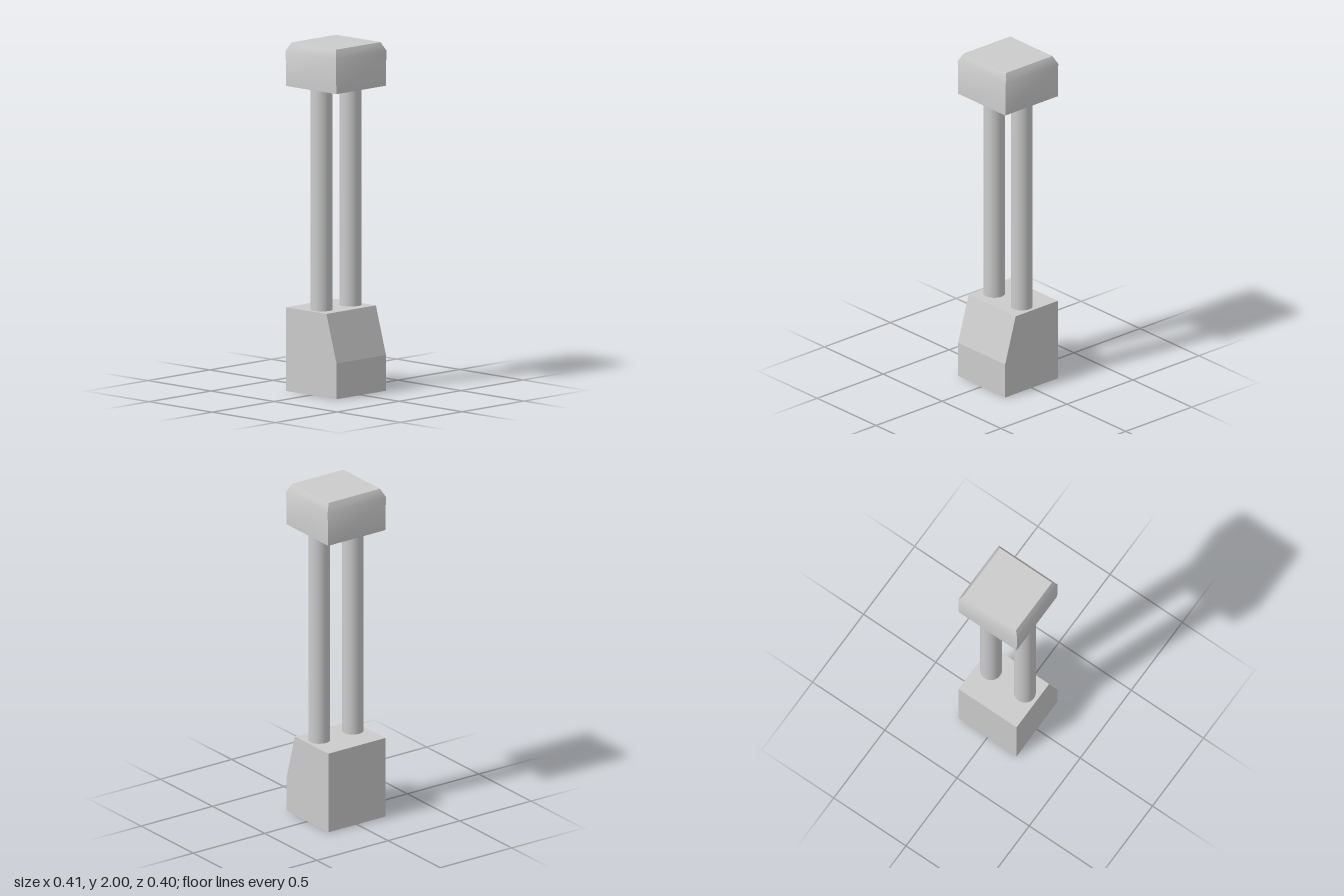
import * as THREE from 'three';
import { toCreasedNormals } from 'three/addons/utils/BufferGeometryUtils.js';

const material = new THREE.MeshStandardMaterial({ color: 0xcccccc });

function addMesh(parent, name, geometry) {
  const mesh = new THREE.Mesh(geometry, material);
  mesh.name = name;
  parent.add(mesh);
  return mesh;
}

// Base block: side profile (z, y) with a sloped upper front, extruded across x
function baseGeometry() {
  const profile = [[-0.2, 0], [0.2, 0], [0.2, 0.205], [0.12, 0.48], [-0.2, 0.48]];
  const shape = new THREE.Shape(profile.map(([z, y]) => new THREE.Vector2(-z, y)));
  const geometry = new THREE.ExtrudeGeometry(shape, { depth: 0.4, bevelEnabled: false });
  return geometry.translate(0, 0, -0.2).rotateY(Math.PI / 2);
}

// Head block: three levels, slightly flared sides and a chamfered top rim
function headGeometry() {
  const levels = [
    { y: 1.75, x: 0.2, z: 0.199 },
    { y: 1.952, x: 0.204, z: 0.199 },
    { y: 2.0, x: 0.18, z: 0.176 },
  ];
  const geometry = new THREE.BoxGeometry(2, 2, 2, 1, 2, 1);
  const p = geometry.attributes.position;
  for (let i = 0; i < p.count; i++) {
    const level = levels[Math.round(p.getY(i)) + 1];
    p.setXYZ(i, Math.sign(p.getX(i)) * level.x, level.y, Math.sign(p.getZ(i)) * level.z);
  }
  return toCreasedNormals(geometry, 0.6);
}

export function createModel() {
  const model = new THREE.Group();
  model.name = 'twinColumnPost';

  addMesh(model, 'base', baseGeometry());

  // Pair of round columns between base and head
  for (const side of [-1, 1]) {
    const column = addMesh(model, side > 0 ? 'leftColumn' : 'rightColumn',
      new THREE.CylinderGeometry(0.062, 0.062, 1.27, 32));
    column.position.set(side * 0.117, 1.115, 0);
  }

  addMesh(model, 'head', headGeometry());
  return model;
}
